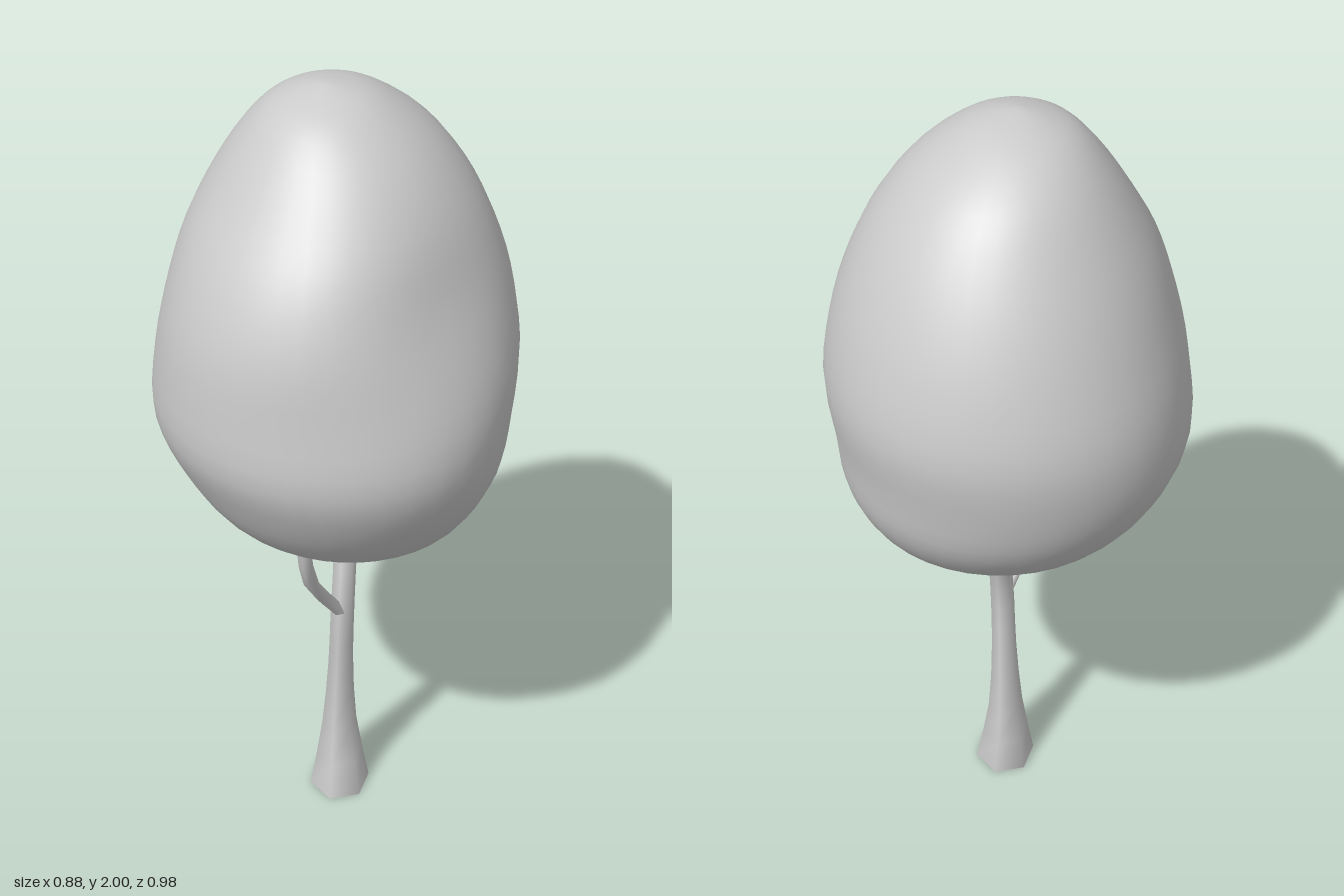
import * as THREE from 'three';
import { mergeVertices } from 'three/addons/utils/BufferGeometryUtils.js';

const material = new THREE.MeshStandardMaterial({ color: 0xcccccc });
const openMaterial = new THREE.MeshStandardMaterial({ color: 0xcccccc, side: THREE.DoubleSide });

// Smooth skin over level elliptical rings, listed bottom to top as [y, minX, maxX, minZ, maxZ].
function loft(rings, steps, sides, shape = () => 1) {
  const spline = (a, b) => new THREE.CatmullRomCurve3(
    rings.map((r) => new THREE.Vector3((r[a] + r[b]) / 2, r[0], (r[b] - r[a]) / 2)), false, 'catmullrom');
  const alongX = spline(1, 2), alongZ = spline(3, 4);
  const positions = [], index = [];
  for (let i = 0; i <= steps; i++) {
    const px = alongX.getPoint(i / steps), pz = alongZ.getPoint(i / steps);
    for (let j = 0; j <= sides; j++) {
      const angle = ((j % sides) / sides) * Math.PI * 2 + Math.PI / 4;
      const s = shape(angle, px.y);
      positions.push(px.x + px.z * Math.cos(angle) * s, px.y, pz.x + pz.z * Math.sin(angle) * s);
      if (i < steps && j < sides) {
        const a = i * (sides + 1) + j, up = a + sides + 1;
        index.push(a, up, a + 1, a + 1, up, up + 1);
      }
    }
  }
  let geometry = new THREE.BufferGeometry();
  geometry.setAttribute('position', new THREE.Float32BufferAttribute(positions, 3));
  geometry.setIndex(index);
  geometry = mergeVertices(geometry, 1e-5);
  geometry.computeVertexNormals();
  return geometry;
}

// Ring from a centre and half widths.
const ring = (x, y, z, rx, rz = rx) => [y, x - rx, x + rx, z - rz, z + rz];

export function createModel() {
  const tree = new THREE.Group();
  tree.name = 'tree';
  const add = (name, geometry, mat) => {
    const mesh = new THREE.Mesh(geometry, mat);
    mesh.name = name;
    tree.add(mesh);
  };

  // Egg-shaped crown
  const crownRings = [
    [0.803, 0.01, 0.01, 0.03, 0.03],
    [0.813, -0.07, 0.09, -0.06, 0.11],
    [0.835, -0.15, 0.19, -0.14, 0.19],
    [0.88, -0.23, 0.295, -0.23, 0.27],
    [0.96, -0.32, 0.36, -0.34, 0.365],
    [1.07, -0.395, 0.405, -0.425, 0.44],
    [1.2, -0.44, 0.42, -0.465, 0.487],
    [1.36, -0.425, 0.435, -0.487, 0.475],
    [1.52, -0.39, 0.413, -0.457, 0.455],
    [1.66, -0.347, 0.367, -0.405, 0.405],
    [1.78, -0.287, 0.303, -0.34, 0.325],
    [1.88, -0.222, 0.222, -0.265, 0.245],
    [1.95, -0.157, 0.132, -0.17, 0.165],
    [1.985, -0.085, 0.06, -0.08, 0.08],
    [2, -0.02, -0.02, 0.015, 0.015],
  ];
  // Gentle swellings and hollows: [degrees, height, vertical spread, amount]
  const lobes = [
    [45, 1.2, 0.2, 0.06],
    [45, 1.6, 0.18, -0.1],
    [135, 1.47, 0.22, 0.05],
    [135, 1.1, 0.15, -0.03],
    [225, 1.35, 0.25, 0.04],
  ];
  const swell = (angle, y) => lobes.reduce((s, [deg, h, spread, amount]) => {
    const facing = Math.max(0, Math.cos(angle - THREE.MathUtils.degToRad(deg)));
    return s + amount * facing ** 6 * Math.exp(-(((y - h) / spread) ** 2));
  }, 1);
  add('crown', loft(crownRings, 42, 40, swell), material);

  // Flared, bent six-sided trunk, open underneath
  add('trunk', loft([
    ring(0.012, 0, 0.042, 0.08, 0.09),
    ring(0.01, 0.2, 0.033, 0.046, 0.06),
    ring(0.014, 0.4, 0.038, 0.033, 0.042),
    ring(0.018, 0.55, 0.045, 0.031, 0.034),
    ring(0.022, 0.67, 0.032, 0.03, 0.033),
    ring(0.025, 0.8, -0.003, 0.03, 0.033),
    ring(0.025, 0.9, -0.025, 0.027, 0.03),
  ], 12, 6), openMaterial);

  // Side branch curving up into the crown
  add('branch', loft([
    ring(0.01, 0.58, 0.055, 0.021, 0.027),
    ring(-0.025, 0.65, 0.1, 0.02, 0.027),
    ring(-0.052, 0.73, 0.155, 0.019, 0.025),
    ring(-0.062, 0.81, 0.193, 0.018, 0.021),
    ring(-0.068, 0.9, 0.205, 0.017, 0.018),
  ], 4, 6), openMaterial);

  return tree;
}
